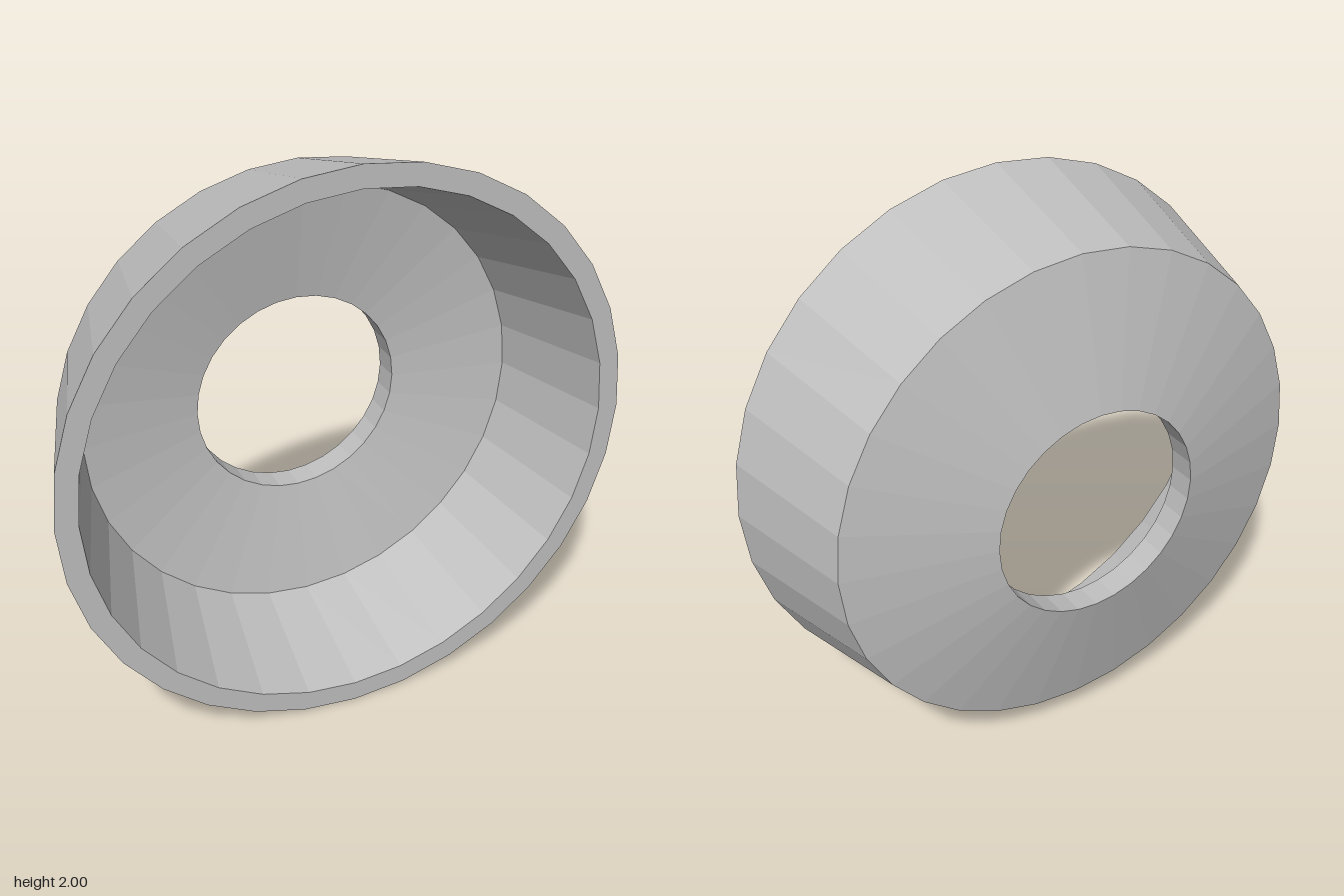
import * as THREE from 'three';

export function createModel() {
  const group = new THREE.Group();
  group.name = 'cuppedRing';

  const greyMetal = new THREE.MeshStandardMaterial({ color: 0xbfbfbf });
  greyMetal.name = 'greyMetal';
  greyMetal.flatShading = true;

  // Closed wall section as [radius, depth], from the back of the hole, round the outside and back through the cup
  const section = [
    [0.376, -0.31], [0.873, -0.19], [1, 0.31], // cone and outer wall
    [0.925, 0.31], [0.8, -0.135], [0.376, -0.21], // rim, inner wall, floor
    [0.376, -0.31], // hole wall
  ].map(([r, z]) => new THREE.Vector2(r, z));

  // Turned around the front-to-back axis
  const geometry = new THREE.LatheGeometry(section, 32);
  geometry.rotateX(Math.PI / 2);
  geometry.translate(0, 1, 0);

  const ring = new THREE.Mesh(geometry, greyMetal);
  ring.name = 'ringBody';
  group.add(ring);
  return group;
}
